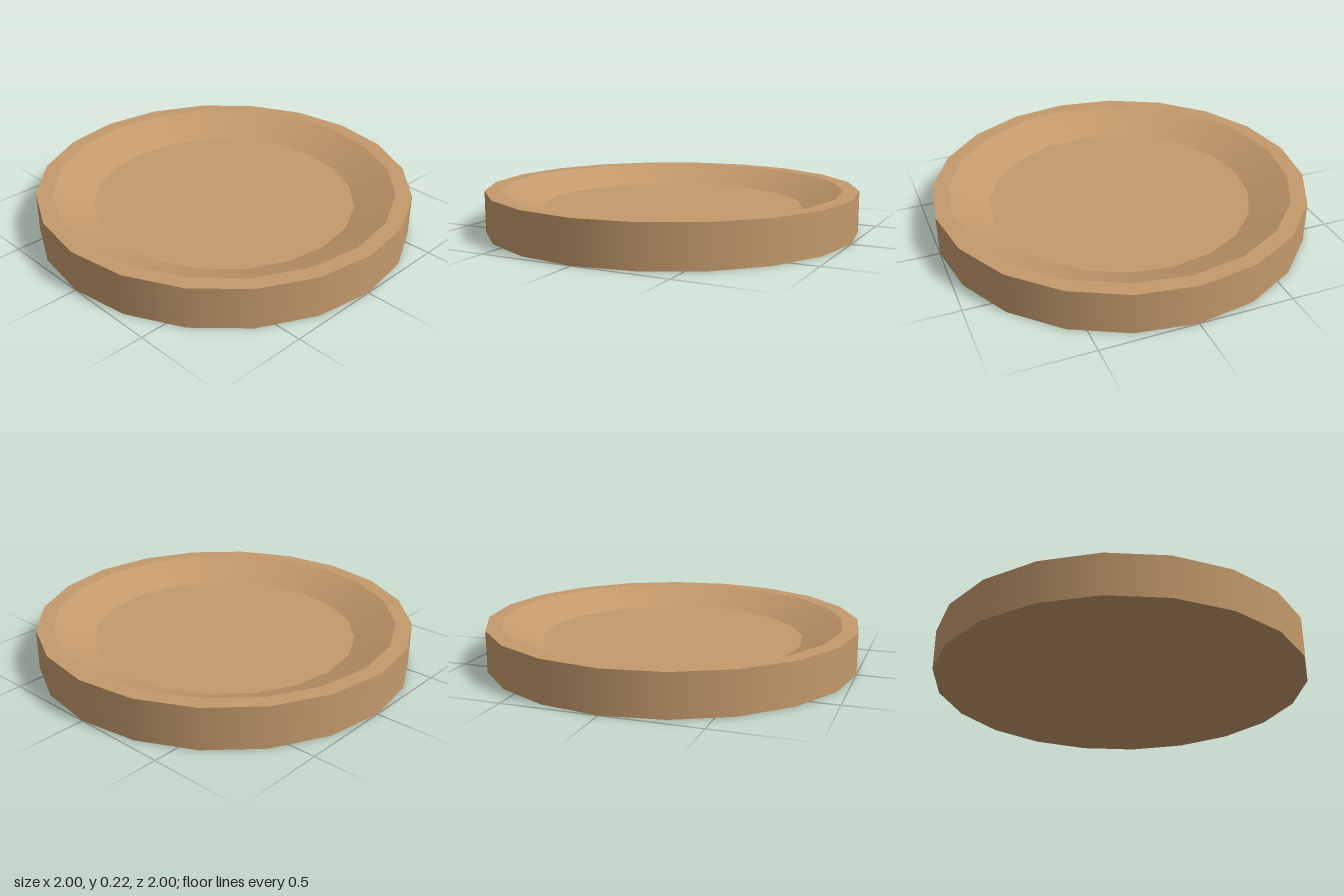
import * as THREE from 'three';

const SIDES = 20;
const HEIGHT = 0.22;
const FLOOR = 0.125;

// Profile [radius, y] from the underside centre, up the wall and into the dish
const PROFILE = [
  [0, 0], [1, 0], [1, HEIGHT], [0.915, HEIGHT], [0.705, FLOOR], [0, FLOOR],
];
const BANDS = ['underside', 'outerWall', 'rim', 'innerSlope', 'dishFloor'];

export function createModel() {
  const plate = new THREE.Group();
  plate.name = 'plate';
  const wood = new THREE.MeshStandardMaterial({ color: 0xc49a6c });

  // One lathe per band: smooth around the plate, sharp edges between bands
  BANDS.forEach((name, i) => {
    const points = [PROFILE[i], PROFILE[i + 1]].map(([r, y]) => new THREE.Vector2(r, y));
    const band = new THREE.Mesh(new THREE.LatheGeometry(points, SIDES), wood);
    band.name = name;
    plate.add(band);
  });

  return plate;
}
